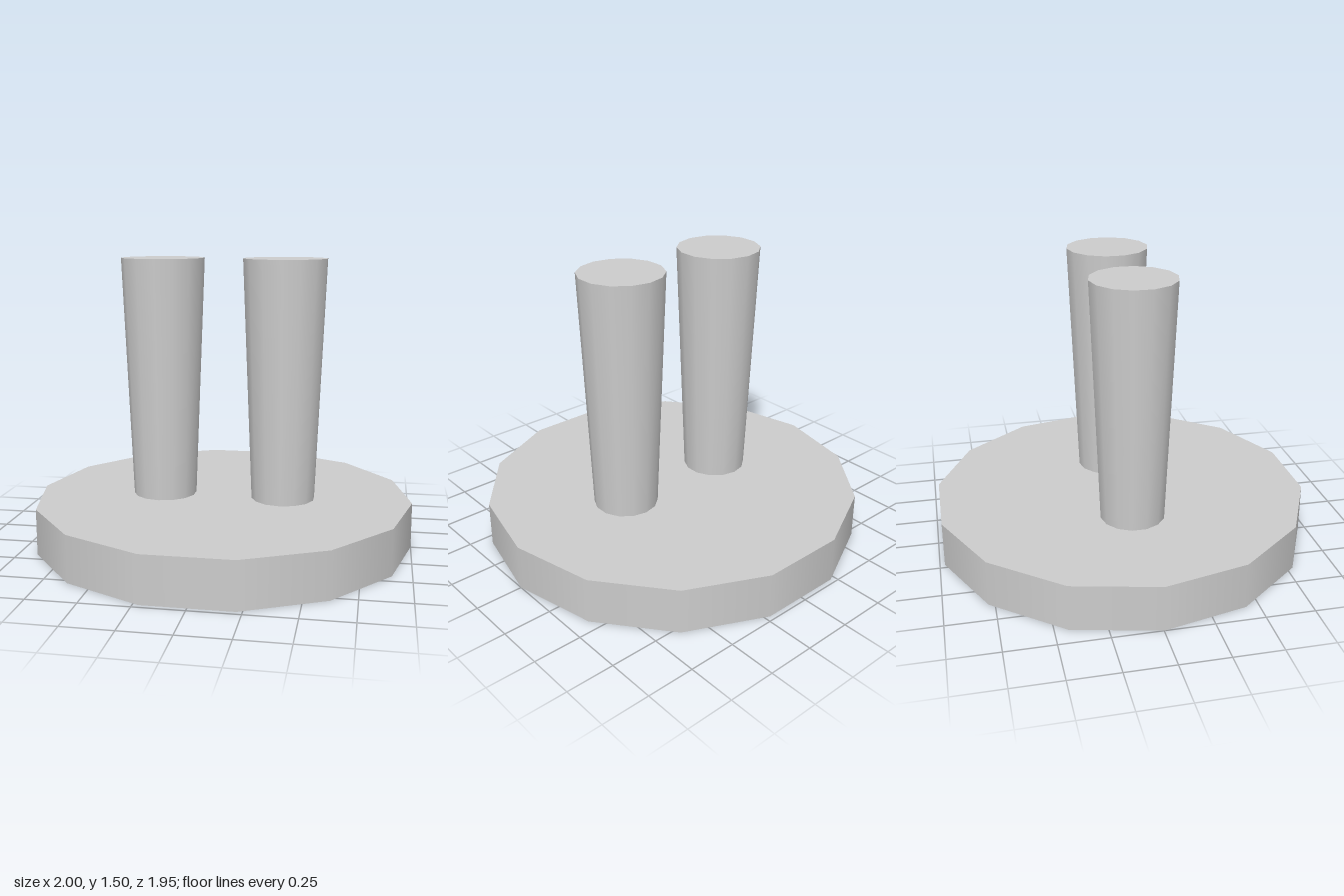
import * as THREE from 'three';

const SIDES = 14;

export function createModel() {
  const group = new THREE.Group();
  const grey = new THREE.MeshStandardMaterial({ color: 0xcccccc });
  grey.name = 'light grey';

  // Capped, smooth-sided cylinder standing between two heights
  function addCylinder(name, topRadius, bottomRadius, y0, y1, x = 0, turn = 0) {
    const geometry = new THREE.CylinderGeometry(topRadius, bottomRadius, y1 - y0, SIDES);
    geometry.rotateY(turn);
    const mesh = new THREE.Mesh(geometry, grey);
    mesh.name = name;
    mesh.position.set(x, (y0 + y1) / 2, 0);
    group.add(mesh);
  }

  // Disc base, turned so that corners lie on the x axis
  addCylinder('base', 1, 1, 0, 0.24, 0, Math.PI / 2);

  // Pair of posts widening towards the top
  for (const side of [1, -1]) {
    addCylinder(side > 0 ? 'leftPost' : 'rightPost', 0.218, 0.168, 0.24, 1.504, side * 0.321);
  }

  return group;
}
